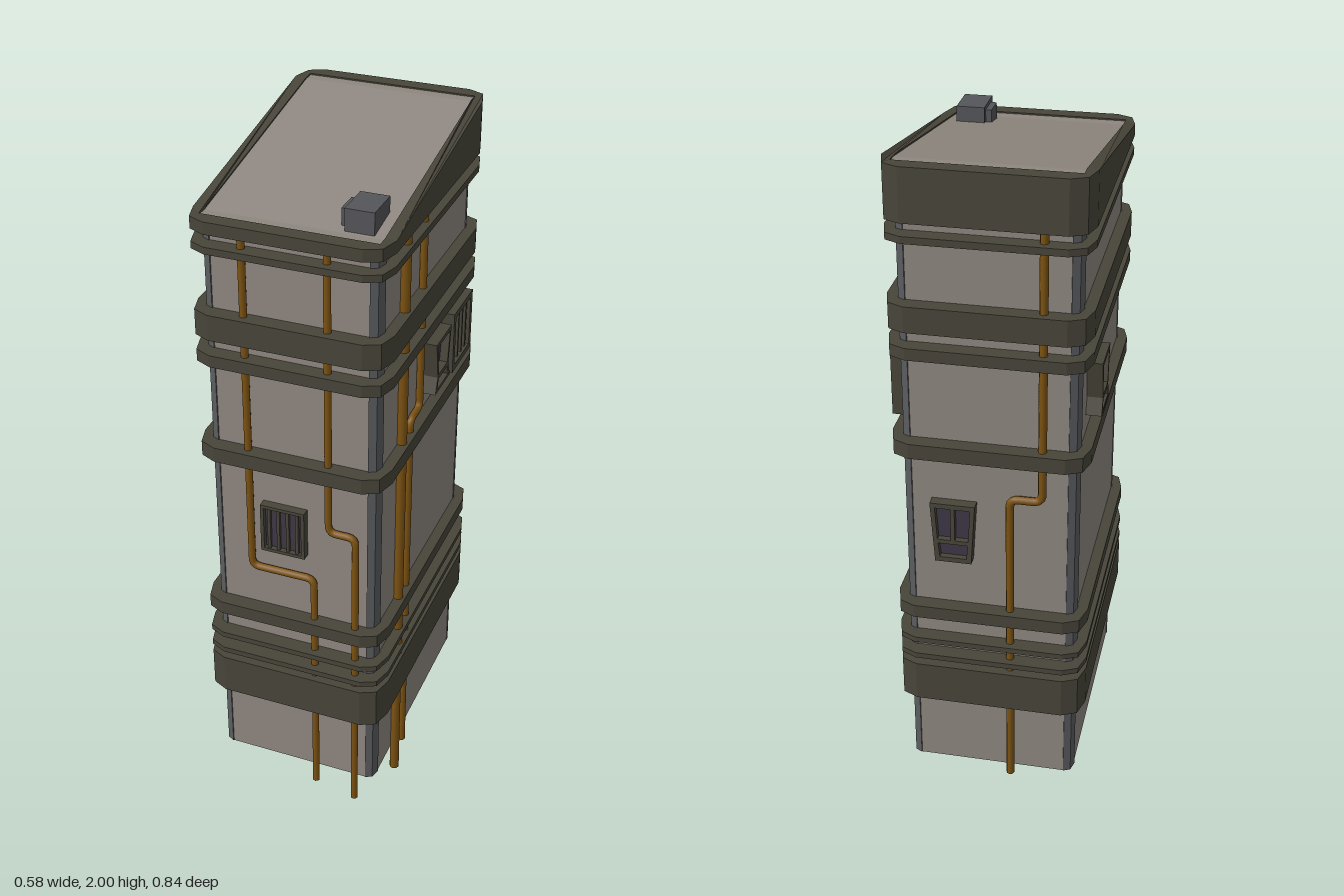
import * as THREE from 'three';

const mat = (color) => new THREE.MeshStandardMaterial({ color, flatShading: true });
const V = (x, y, z) => new THREE.Vector3(x, y, z);

export function createModel() {
  const group = new THREE.Group();
  const wall = mat(0x8f8780), trim = mat(0x48453a), post = mat(0x5b5d60);
  const pane = mat(0x3d3744), unit = mat(0x55565a), bronze = new THREE.MeshStandardMaterial({ color: 0x7d5312 });

  const add = (name, geometry, material, parent = group) => {
    const mesh = new THREE.Mesh(geometry, material);
    mesh.name = name;
    parent.add(mesh);
    return mesh;
  };
  const shapeOf = (pts) => new THREE.Shape(pts.map(([x, y]) => new THREE.Vector2(x, y)));

  // Mirrors the points of one corner into a closed outline
  const outline = (corner) => {
    const back = [...corner].reverse();
    return [
      ...corner,
      ...back.map(([x, z]) => [-x, z]),
      ...corner.map(([x, z]) => [-x, -z]),
      ...back.map(([x, z]) => [x, -z]),
    ];
  };
  // Upright prism from a plan shape
  const prism = (shape, y0, y1) => new THREE.ExtrudeGeometry(shape, { depth: y1 - y0, bevelEnabled: false })
    .rotateX(-Math.PI / 2).translate(0, y0, 0);

  // Main walls and the dark corner posts
  add('tower', prism(shapeOf(outline([[0.245, 0.335], [0.22, 0.372]])), 0.09, 1.87), wall);
  for (const sx of [-1, 1]) for (const sz of [-1, 1]) {
    const pts = [[0.248, 0.335], [0.24, 0.365], [0.22, 0.375], [0.2, 0.32]].map(([x, z]) => [x * sx, z * sz]);
    add('cornerPost', prism(shapeOf(pts), 0.091, 1.86), post);
  }

  // Horizontal bands
  const bandPlan = outline([[0.277, 0.34], [0.261, 0.397], [0.216, 0.418]]);
  for (const [y0, y1] of [[0.34, 0.465], [0.488, 0.505], [0.545, 0.562], [0.635, 0.675], [1.165, 1.21],
    [1.465, 1.5], [1.545, 1.62], [1.795, 1.815]]) {
    add('band', prism(shapeOf(bandPlan), y0, y1), trim);
  }

  // Sloping roof rim and roof panel
  const roofY = (z) => 1.885 + 0.115 * THREE.MathUtils.clamp((0.34 - z) / 0.68, 0, 1);
  const rimShape = shapeOf(bandPlan);
  rimShape.holes.push(shapeOf(outline([[0.245, 0.34], [0.245, 0.373]])));
  const rim = prism(rimShape, 1.85, 2);
  const rp = rim.attributes.position;
  for (let i = 0; i < rp.count; i++) if (rp.getY(i) > 1.9) rp.setY(i, roofY(rp.getZ(i)));
  rim.computeVertexNormals();
  add('roofRim', rim, trim);

  const panel = new THREE.PlaneGeometry(0.492, 0.748, 1, 3).rotateX(-Math.PI / 2);
  const pp = panel.attributes.position;
  const rows = [-0.374, -0.34, 0.34, 0.374];
  for (let i = 0; i < pp.count; i++) {
    const z = rows[Math.floor(i / 2)];
    pp.setXYZ(i, pp.getX(i), roofY(z) - 0.004, z);
  }
  panel.computeVertexNormals();
  add('roofPanel', panel, wall);

  // Rooftop unit
  add('roofUnit', new THREE.BoxGeometry(0.08, 0.065, 0.11).translate(0.175, 1.912, 0.277), unit);
  add('roofUnitVent', new THREE.BoxGeometry(0.02, 0.05, 0.07).translate(0.128, 1.908, 0.275), unit);

  // Pipes with rounded bends
  const pipe = (name, pts, radius) => {
    const path = new THREE.CurvePath();
    let last = pts[0];
    for (let i = 1; i < pts.length - 1; i++) {
      const toward = (p) => pts[i].clone().add(p.clone().sub(pts[i]).setLength(0.025));
      const a = toward(pts[i - 1]), b = toward(pts[i + 1]);
      path.add(new THREE.LineCurve3(last, a));
      path.add(new THREE.QuadraticBezierCurve3(a, pts[i], b));
      last = b;
    }
    const end = pts[pts.length - 1];
    path.add(new THREE.LineCurve3(last, end));
    const g = new THREE.Group();
    g.name = name;
    group.add(g);
    add('pipeRun', new THREE.TubeGeometry(path, pts.length > 2 ? 200 : 1, radius, 8), bronze, g);
    add('pipeEnd', new THREE.CircleGeometry(radius, 8).rotateX(Math.PI / 2).translate(end.x, end.y, end.z), bronze, g);
  };
  const zf = 0.387, xr = 0.255, zb = -0.387;
  pipe('frontPipe', [V(-0.125, 1.86, zf), V(-0.125, 0.815, zf), V(0.065, 0.815, zf), V(0.065, 0.04, zf)], 0.011);
  pipe('frontPipe', [V(0.11, 1.86, zf), V(0.11, 0.99, zf), V(0.19, 0.99, zf), V(0.19, 0.01, zf)], 0.011);
  pipe('sidePipe', [V(xr, 1.86, 0.205), V(xr, 0, 0.205)], 0.015);
  pipe('sidePipe', [V(xr, 1.86, 0.062), V(xr, 1.245, 0.062), V(xr, 1.245, 0.14), V(xr, 0.06, 0.14)], 0.011);
  pipe('backPipe', [V(-0.15, 1.86, zb), V(-0.15, 1.05, zb), V(-0.06, 1.05, zb), V(-0.06, 0.07, zb)], 0.012);

  // Window: framed opening facing +z, then turned onto its wall
  const makeWindow = (name, pts, holes, depth, position, turn) => {
    const g = new THREE.Group();
    g.name = name;
    const shape = shapeOf(pts);
    holes.forEach((h) => shape.holes.push(shapeOf(h)));
    add('frame', new THREE.ExtrudeGeometry(shape, { depth, bevelEnabled: false }), trim, g);
    add('pane', new THREE.ShapeGeometry(shapeOf(pts)).translate(0, 0, depth * 0.45), pane, g);
    g.position.copy(position);
    g.rotation.y = turn;
    group.add(g);
    return g;
  };
  const rect = (w, h) => [[-w, -h], [w, -h], [w, h], [-w, h]];

  // Barred window: half width, half height, rim width
  const barred = (name, w, h, rimWidth, depth, position, turn) => {
    const g = makeWindow(name, rect(w, h), [rect(w - rimWidth, h - rimWidth)], depth, position, turn);
    for (let i = 0; i < 4; i++) {
      const x = (i - 1.5) * (w - rimWidth) * 0.5;
      add('bar', new THREE.BoxGeometry(0.009, 2 * (h - rimWidth), 0.009).translate(x, 0, depth * 0.7), trim, g);
    }
  };
  barred('frontWindow', 0.066, 0.077, 0.01, 0.028, V(-0.025, 0.962, 0.37), 0);
  barred('sideBarredWindow', 0.085, 0.095, 0.018, 0.038, V(0.244, 1.34, -0.235), Math.PI / 2);

  // Waisted windows on both sides
  const waist = [[-0.065, -0.08], [0.065, -0.08], [0.046, -0.033], [0.065, 0.08], [-0.065, 0.08], [-0.046, -0.033]];
  const waistHoles = [
    [[-0.037, -0.026], [0.037, -0.026], [0.053, 0.067], [-0.053, 0.067]],
    [[-0.048, -0.07], [0.048, -0.07], [0.039, -0.04], [-0.039, -0.04]],
  ];
  makeWindow('sideWaistedWindow', waist, waistHoles, 0.043, V(0.244, 1.345, -0.045), Math.PI / 2);
  makeWindow('sideWaistedWindow', waist, waistHoles, 0.045, V(-0.244, 1.345, -0.195), -Math.PI / 2);

  // Tapered window on the back
  makeWindow('backWindow',
    [[-0.052, -0.095], [0.052, -0.095], [0.064, 0.095], [-0.064, 0.095]],
    [
      [[-0.038, -0.08], [0.038, -0.08], [0.043, -0.035], [-0.043, -0.035]],
      [[-0.044, -0.022], [-0.006, -0.022], [-0.006, 0.08], [-0.05, 0.08]],
      [[0.006, -0.022], [0.044, -0.022], [0.05, 0.08], [0.006, 0.08]],
    ], 0.032, V(0.1, 0.925, -0.371), Math.PI);

  return group;
}
